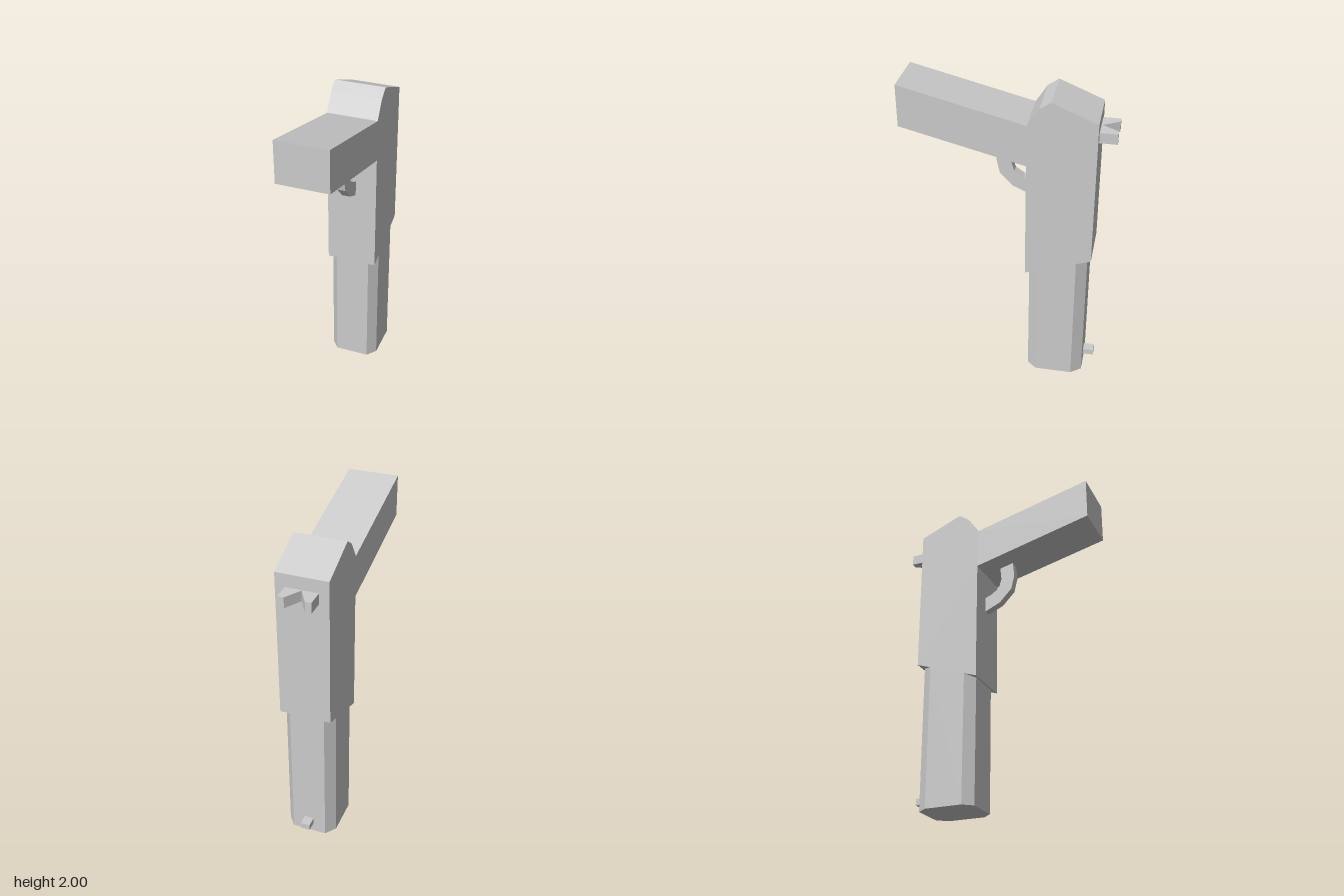
import * as THREE from 'three';

const material = new THREE.MeshStandardMaterial({ color: 0xcccccc, flatShading: true });

const shapeOf = (points) => new THREE.Shape(points.map(([a, b]) => new THREE.Vector2(a, b)));

// Side profile given as [z, y], extruded across x and centred on it.
function sideExtrude(points, width) {
  const g = new THREE.ExtrudeGeometry(shapeOf(points), { depth: width, bevelEnabled: false });
  return g.translate(0, 0, -width / 2).rotateY(-Math.PI / 2);
}

// Plan outline given as [x, z], extruded upwards from y = 0.
function planExtrude(points, height) {
  const g = new THREE.ExtrudeGeometry(shapeOf(points.map(([x, z]) => [x, -z])), { depth: height, bevelEnabled: false });
  return g.rotateX(-Math.PI / 2);
}

// Completes a half outline (x > 0) with its mirror image.
const mirrored = (half) => [...half, ...half.filter(([x]) => x !== 0).reverse().map(([x, z]) => [-x, z])];

export function createModel() {
  const model = new THREE.Group();
  const add = (name, geometry) => {
    const mesh = new THREE.Mesh(geometry, material);
    mesh.name = name;
    model.add(mesh);
    return mesh;
  };

  const width = 0.316;
  const half = width / 2;
  // Slanted lower end of the body, shared with the barrel's top
  const slantY = (z) => 0.79 + (-0.12 - z) * 0.346;

  // Body and angled grip
  add('bodyAndGrip', sideExtrude([
    [0.63, 2], [0.63, 1.74], [-0.12, 1.555], [-0.12, slantY(-0.12)],
    [-0.525, slantY(-0.525)], [-0.525, 1.86], [-0.255, 1.97], [-0.19, 1.925], [-0.12, 1.815],
  ], width));

  // Chamfered barrel, its top sheared to meet the body
  const barrel = planExtrude(mirrored([[0.108, -0.14], [half, -0.2], [half, -0.435], [0.108, -0.5]]), 1);
  const pos = barrel.attributes.position;
  for (let i = 0; i < pos.count; i++) {
    if (pos.getY(i) > 0.5) pos.setY(i, slantY(pos.getZ(i)));
  }
  barrel.computeVertexNormals();
  add('barrel', barrel);

  // Curved trigger guard
  add('triggerGuard', sideExtrude([
    [0.071, 1.61], [0.081, 1.507], [0.06, 1.416], [-0.02, 1.333], [-0.13, 1.284],
    [-0.13, 1.382], [-0.08, 1.402], [-0.028, 1.438], [-0.009, 1.5], [-0.018, 1.59],
  ], 0.052));

  // Rear sight with a V notch
  const notch = [[0, -0.53], [0.06, -0.63], [0.098, -0.63], [0.098, -0.52]];
  add('rearSight', planExtrude(mirrored(notch), 0.065)).position.y = 1.715;

  // Front sight near the muzzle
  add('frontSight', new THREE.BoxGeometry(0.06, 0.04, 0.08)).position.set(0, 0.085, -0.528);

  return model;
}
